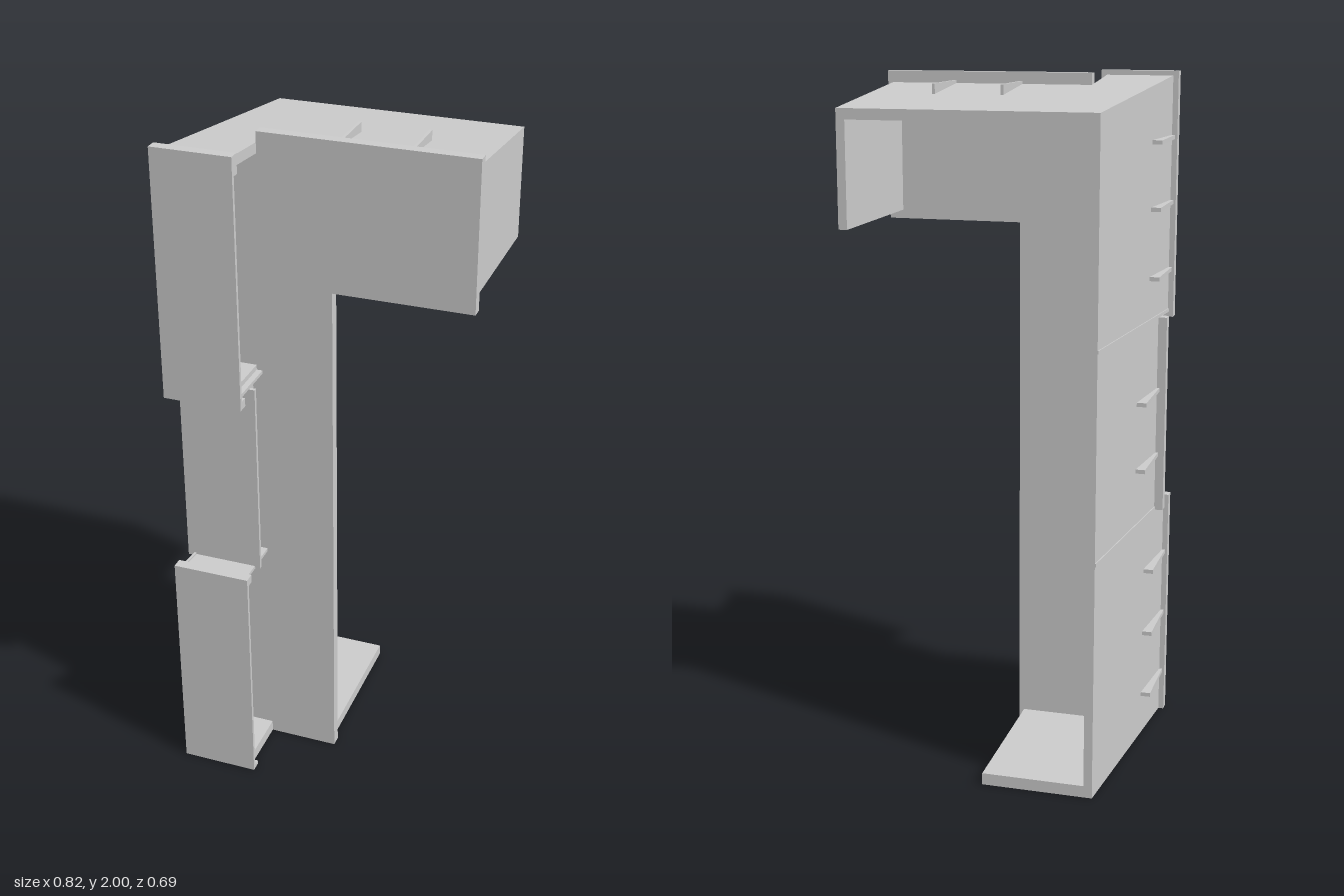
import * as THREE from 'three';

const material = new THREE.MeshStandardMaterial({ color: 0xcccccc, flatShading: true });

export function createModel() {
  const model = new THREE.Group();

  const add = (name, geometry, parent = model) => {
    const mesh = new THREE.Mesh(geometry, material);
    mesh.name = name;
    parent.add(mesh);
    return mesh;
  };

  // Box given by its limits on each axis
  const box = (name, [x0, x1], [y0, y1], [z0, z1], parent) => {
    const g = new THREE.BoxGeometry(x1 - x0, y1 - y0, z1 - z0);
    g.translate((x0 + x1) / 2, (y0 + y1) / 2, (z0 + z1) / 2);
    return add(name, g, parent);
  };

  const extrude = (points, depth) => new THREE.ExtrudeGeometry(
    new THREE.Shape(points.map(([a, b]) => new THREE.Vector2(a, b))),
    { depth, bevelEnabled: false });

  // Move every vertex by a rule
  const bend = (g, rule) => {
    const p = g.attributes.position, v = new THREE.Vector3();
    for (let i = 0; i < p.count; i++) {
      v.fromBufferAttribute(p, i);
      rule(v);
      p.setXYZ(i, v.x, v.y, v.z);
    }
    g.computeVertexNormals();
    return g;
  };

  const wallX = z => -0.33 - 0.102 * (z + 0.345); // slanted outer side
  const roofY = z => 1.955 + 0.1 * z;             // sloped roof top

  // Floor and roof share one plan, with a different right edge
  const plan = (right, thickness) => extrude([
    [wallX(-0.345), 0.345], [right, 0.345], [right, -0.115],
    [-0.2, -0.115], [-0.2, -0.313], [wallX(0.313), -0.313],
  ], thickness).rotateX(-Math.PI / 2);
  add('floor', plan(-0.005, 0.035));
  add('roof', bend(plan(0.395, 0.03), v => { v.y += roofY(v.z) - 0.03; }));

  // Front panel with the overhanging arm, and its part behind the column
  add('frontPanel', extrude([
    [-0.2, 0], [0.01, 0], [0.01, 1.57], [0.41, 1.57], [0.41, 2], [-0.2, 2],
  ], 0.032).translate(0, 0, 0.115));
  box('frontPanelInner', [-0.372, -0.2], [0.03, 1.945], [0.115, 0.147]);

  // Slanted side wall, set back in the middle
  const side = extrude([
    [-0.345, 0.02], [0.313, 0.02], [0.313, 0.7], [0.215, 0.7], [0.215, 1.29],
    [0.313, 1.29], [0.313, roofY(0.313) - 0.02], [-0.345, roofY(-0.345) - 0.02],
  ], 0.025).rotateY(-Math.PI / 2).translate(0.025, 0, 0);
  add('sideWall', bend(side, v => { v.x += wallX(v.z); }));

  // Thin joints across the side wall
  for (const y of [0.7, 1.295]) {
    const strip = new THREE.BoxGeometry(0.006, 0.01, 0.658).translate(0, y, -0.016);
    add('wallJoint', bend(strip, v => { v.x += wallX(v.z); }));
  }

  // Wall at the end of the arm
  add('armEndWall', extrude([
    [-0.345, 1.595], [0.115, 1.595], [0.115, roofY(0.115) - 0.02], [-0.345, roofY(-0.345) - 0.02],
  ], 0.025).rotateY(-Math.PI / 2).translate(0.395, 0, 0));

  // Column fronts, rabbeted along the right rear edge between y0 and y1
  const columnFront = (name, [bottom, top], [y0, y1], z) => {
    const group = new THREE.Group();
    group.name = name;
    model.add(group);
    box('panel', [-0.413, -0.2], [bottom, top], [z - 0.032, z], group);
    box('lip', [-0.2, -0.183], [bottom, top], [z - 0.011, z], group);
    for (const [a, b] of [[bottom, y0], [y1, top]]) {
      if (b - a > 0.001) box('lipEnd', [-0.2, -0.183], [a, b], [z - 0.032, z - 0.011], group);
    }
  };
  columnFront('upperColumnFront', [1.275, 2], [1.3, 1.945], 0.345);
  columnFront('middleColumnFront', [0.695, 1.29], [0.695, 1.29], 0.247);
  columnFront('lowerColumnFront', [0, 0.715], [0.012, 0.69], 0.345);

  // Column shelves, thinner along their open edge
  for (const [name, thick, thin] of [
    ['upperShelf', [1.29, 1.315], [1.29, 1.3]],
    ['lowerShelf', [0.675, 0.7], [0.69, 0.7]],
  ]) {
    box(name, [-0.38, -0.217], thick, [0.147, 0.313]);
    box(name + 'Edge', [-0.217, -0.2], thin, [0.147, 0.313]);
  }

  // Ribs on the outside of the side wall
  const ribs = (name, heights, x, z) => heights.forEach(
    y => box(name, [x, -0.36], [y - 0.006, y + 0.006], [z, z + 0.2]));
  ribs('upperSideRib', [1.81, 1.62, 1.42], -0.406, 0.115);
  ribs('middleSideRib', [1.07, 0.87], -0.395, 0.015);
  ribs('lowerSideRib', [0.53, 0.33, 0.13], -0.406, 0.115);

  // Ribs on the roof behind the front panel
  for (const x of [0.007, 0.205]) {
    box('roofRib', [x - 0.004, x + 0.004], [1.935, 1.975], [-0.085, 0.115]);
  }

  return model;
}
